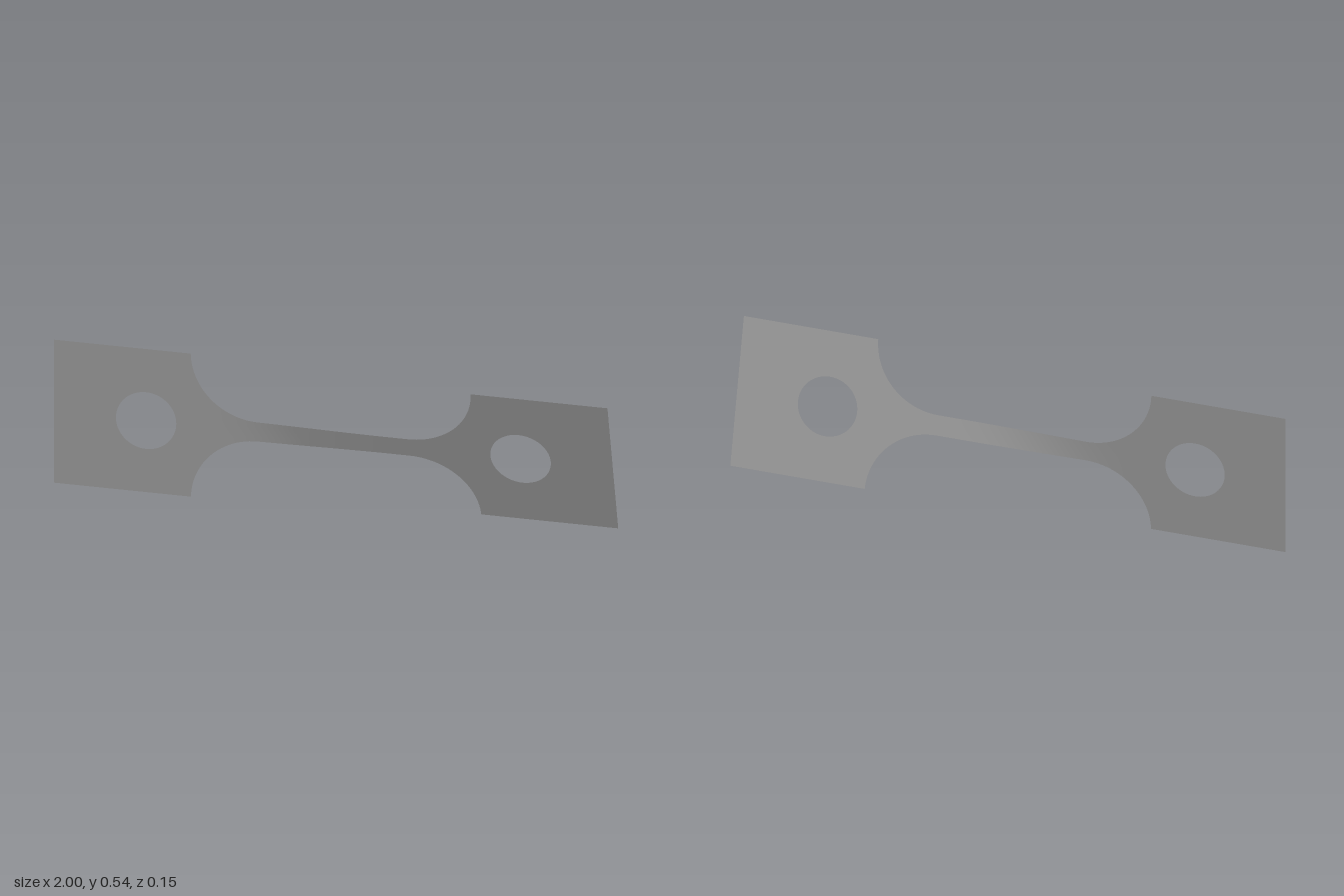
import * as THREE from 'three';

const HALF = 0.2725;          // half height of the grips, also the twist axis height
const NECK = 0.037;           // half height of the narrow gauge
const FILLET = 0.24, FILLET_X = 0.27, GRIP_X = FILLET_X + FILLET;
const TILT_START = 0.006, TILT_END = 0.286;

// Twist about the long axis at station x
const tilt = (x) => TILT_START + (TILT_END - TILT_START) * THREE.MathUtils.smoothstep(x, -0.42, 0.2);

// Flat grip plate with a round pin hole
function makeGrip(side, material) {
  const shape = new THREE.Shape();
  const inner = side * GRIP_X, outer = side;
  shape.moveTo(inner, -HALF);
  shape.lineTo(outer, -HALF);
  shape.lineTo(outer, HALF);
  shape.lineTo(inner, HALF);
  shape.closePath();
  const hole = new THREE.Path();
  hole.absarc(side * 0.67, 0, 0.108, 0, Math.PI * 2, true);
  shape.holes.push(hole);
  const grip = new THREE.Mesh(new THREE.ShapeGeometry(shape, 32), material);
  grip.rotation.x = tilt(outer);
  return grip;
}

// Twisted gauge strip with rounded shoulders running into both grips
function makeGauge(material) {
  const stations = [];
  const arcSteps = 24, neckSteps = 32;
  for (let i = arcSteps; i > 0; i--) {
    const a = (i / arcSteps) * Math.PI / 2;
    stations.push([-FILLET_X - FILLET * Math.sin(a), NECK + FILLET * (1 - Math.cos(a))]);
  }
  for (let i = 0; i <= neckSteps; i++) {
    stations.push([FILLET_X * (2 * i / neckSteps - 1), NECK]);
  }
  for (let i = arcSteps - 1; i >= 0; i--) stations.push([-stations[i][0], stations[i][1]]);
  stations.sort((p, q) => p[0] - q[0]);

  const rows = 4;
  const geometry = new THREE.PlaneGeometry(1, 2, stations.length - 1, rows);
  const pos = geometry.attributes.position;
  for (let i = 0; i < pos.count; i++) {
    const [x, h] = stations[i % stations.length];
    const r = pos.getY(i) * Math.min(h, HALF);
    pos.setXYZ(i, x, r * Math.cos(tilt(x)), r * Math.sin(tilt(x)));
  }
  geometry.computeVertexNormals();
  return new THREE.Mesh(geometry, material);
}

export function createModel() {
  const steel = new THREE.MeshStandardMaterial({ color: 0xb4b4b4, side: THREE.DoubleSide });
  steel.name = 'steel grey';

  const model = new THREE.Group();
  model.name = 'twistedTensileSpecimen';
  const parts = {
    leftGrip: makeGrip(1, steel),
    rightGrip: makeGrip(-1, steel),
    gauge: makeGauge(steel),
  };
  for (const [name, mesh] of Object.entries(parts)) {
    mesh.name = name;
    mesh.position.y = HALF;
    model.add(mesh);
  }
  return model;
}
